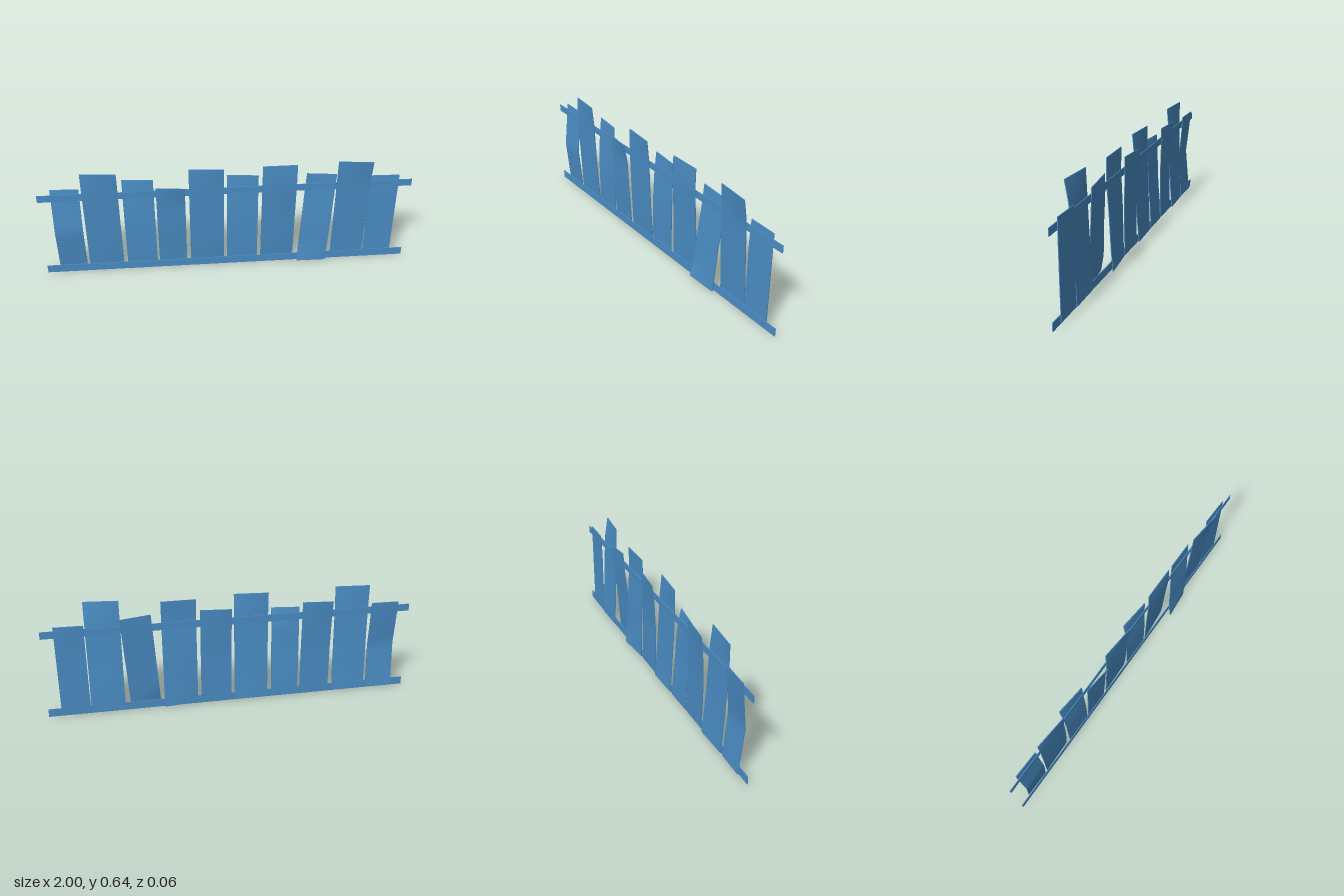
import * as THREE from 'three';

const paint = new THREE.MeshStandardMaterial({ color: 0x4b8ec6 });
const STATIONS = [0, 0.18, 0.5, 0.8, 1]; // bend heights along a slat
const THICK = 0.004;

// Thin board with four corners in x/y and a z curve along each long edge
function makeSlat({ bl, br, tl, tr, zl, zr }) {
  const cols = 4, rows = 12;
  const geo = new THREE.BoxGeometry(1, 1, THICK, cols, rows, 1);
  const pos = geo.attributes.position;
  const bend = (zs) => {
    const pts = zs.map((z, i) => new THREE.Vector3(z, STATIONS[i], 0));
    return (t) => {
      let i = 0;
      while (i < 3 && t > STATIONS[i + 1]) i++;
      const f = (t - STATIONS[i]) / (STATIONS[i + 1] - STATIONS[i]);
      return THREE.MathUtils.lerp(pts[i].x, pts[i + 1].x, f);
    };
  };
  const left = bend(zl), right = bend(zr);
  const mix = THREE.MathUtils.lerp;
  for (let i = 0; i < pos.count; i++) {
    const u = pos.getX(i) + 0.5, t = pos.getY(i) + 0.5;
    pos.setXYZ(i,
      mix(mix(bl[0], br[0], u), mix(tl[0], tr[0], u), t),
      mix(mix(bl[1], br[1], u), mix(tl[1], tr[1], u), t),
      pos.getZ(i) + mix(left(t), right(t), u));
  }
  geo.computeVertexNormals();
  return new THREE.Mesh(geo, paint);
}

// Upright slat between two x positions
function upright(x0, x1, top, zl, zr) {
  return { bl: [x0, 0.01], br: [x1, 0.01], tl: [x0, top], tr: [x1, top], zl, zr };
}

export function createModel() {
  const group = new THREE.Group();
  group.name = 'fence';

  // Horizontal rails
  for (const [name, y, h] of [['lowerRail', 0.0225, 0.045], ['upperRail', 0.485, 0.04]]) {
    const rail = new THREE.Mesh(new THREE.BoxGeometry(2, h, THICK), paint);
    rail.position.set(0, y, -0.005);
    rail.name = name;
    group.add(rail);
  }

  // Edge curves shared by similar slats, from bottom to top
  const leanL = [-0.016, -0.011, -0.002, 0.004, 0.002];
  const leanR = [-0.022, -0.012, -0.001, 0.006, 0.018];
  const backL = [-0.012, -0.011, -0.010, -0.018, -0.031];
  const backR = [-0.012, -0.011, -0.010, -0.014, -0.014];
  const curlL = [-0.014, -0.010, 0.000, 0.006, 0.011];
  const curlR = [-0.016, -0.011, 0.001, 0.009, 0.030];

  const slats = [
    upright(-0.93, -0.78, 0.53, [-0.018, -0.008, 0.008, -0.009, -0.019], [-0.016, -0.009, 0.005, -0.009, -0.014]),
    upright(-0.765, -0.577, 0.63, leanL, leanR),
    upright(-0.555, -0.39, 0.565, backL, backR),
    upright(-0.378, -0.225, 0.53, curlL, curlR),
    upright(-0.203, -0.018, 0.63, leanL, leanR),
    upright(0, 0.168, 0.565, backL, backR),
    upright(0.188, 0.373, 0.625, [-0.014, -0.012, -0.008, 0, -0.003], [-0.031, -0.021, -0.012, 0, -0.003]),
    // the loose, crooked slat
    {
      bl: [0.39, 0.018], br: [0.555, 0.003], tl: [0.427, 0.563], tr: [0.59, 0.547],
      zl: [0.030, 0.011, 0.002, -0.012, -0.016], zr: [0.013, 0.009, 0.001, -0.012, -0.020],
    },
    upright(0.587, 0.77, 0.642, curlL, curlR),
    upright(0.775, 0.93, 0.53, [-0.012, -0.012, -0.012, -0.012, -0.018], [-0.012, -0.012, -0.012, -0.012, -0.013]),
  ];
  slats.forEach((spec, i) => {
    const slat = makeSlat(spec);
    slat.name = `slat${i + 1}`;
    group.add(slat);
  });
  return group;
}
